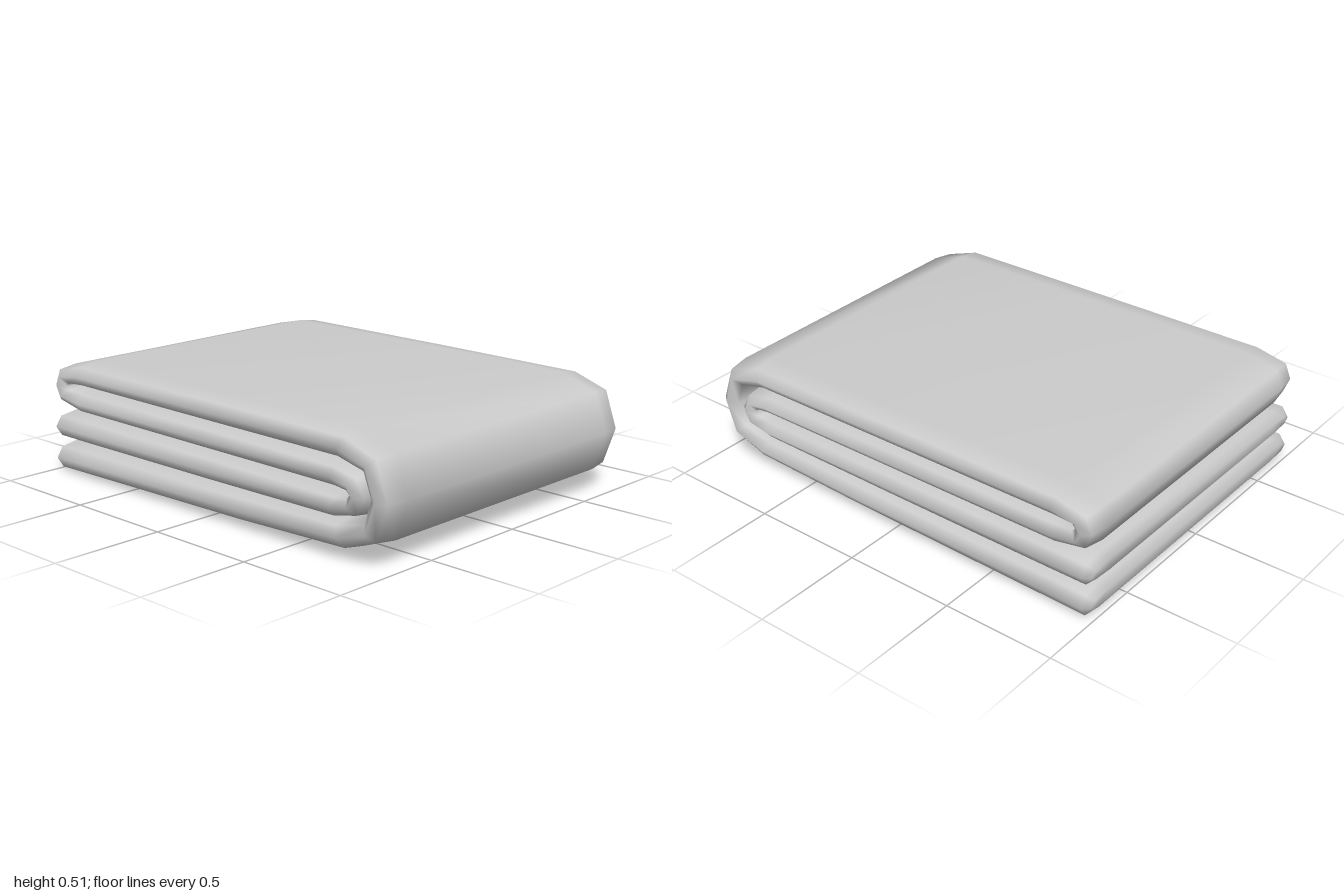
import * as THREE from 'three';

// Stations along the folded sheet: [face A x, y, face B x, y]
const STATIONS = [
  // bottom layer, from its free end
  [-0.993, 0.04, -0.993, 0.09], [-0.965, 0, -0.965, 0.127],
  [-0.8, 0.003, -0.8, 0.13], [0.2, 0.02, 0.2, 0.137],
  // outer fold on the left side
  [0.78, 0.04, 0.72, 0.147], [0.94, 0.1, 0.86, 0.175], [1, 0.27, 0.892, 0.27],
  [0.94, 0.44, 0.855, 0.365], [0.77, 0.5, 0.73, 0.393],
  // top layer and the fold on the right side
  [0, 0.507, 0, 0.398], [-0.82, 0.51, -0.8, 0.405],
  [-0.97, 0.475, -0.885, 0.404], [-1, 0.4, -0.9, 0.397], [-0.97, 0.32, -0.885, 0.392],
  [-0.82, 0.287, -0.8, 0.389],
  // second layer and the inner fold
  [0, 0.282, 0, 0.382], [0.72, 0.278, 0.71, 0.373],
  [0.77, 0.273, 0.84, 0.345], [0.785, 0.266, 0.88, 0.268], [0.77, 0.258, 0.84, 0.185],
  [0.72, 0.253, 0.71, 0.157],
  // third layer, to its free end
  [0, 0.262, 0, 0.15], [-0.8, 0.268, -0.8, 0.147],
  [-0.965, 0.268, -0.965, 0.148], [-0.993, 0.23, -0.993, 0.18],
];

// Rounded section across the sheet: [z, share of the thickness]
const SECTION = [[-0.765, 0], [-0.735, 0.74], [-0.64, 1], [0.64, 1], [0.735, 0.74], [0.765, 0]];

function foldedSheet() {
  const positions = [], index = [];
  const n = SECTION.length, ring = 2 * n - 2, last = STATIONS.length - 1;
  STATIONS.forEach(([ax, ay, bx, by], i) => {
    const mx = (ax + bx) / 2, my = (ay + by) / 2;
    const zScale = i === 0 || i === last ? 0.965 : 1;
    for (let k = 0; k < ring; k++) {
      const onA = k < n;
      const [z, s] = SECTION[onA ? k : ring - k];
      const x = onA ? ax : bx, y = onA ? ay : by;
      positions.push(mx + (x - mx) * s, my + (y - my) * s, z * zScale);
    }
  });
  for (let i = 0; i < last; i++) {
    for (let k = 0; k < ring; k++) {
      const a = i * ring + k, d = i * ring + (k + 1) % ring;
      index.push(a, a + ring, d + ring, a, d + ring, d);
    }
  }
  // caps on the two free ends
  const e = last * ring;
  for (let k = 1; k < n - 1; k++) {
    const b = ring - k, k2 = k + 1, b2 = (ring - k2) % ring;
    if (k === 1) index.push(0, k, b, e, e + b, e + k);
    if (k2 < n - 1) index.push(k, k2, b2, k, b2, b, e + k, e + b2, e + k2, e + k, e + b, e + b2);
    else index.push(k, k2, b, e + k, e + b, e + k2);
  }
  const geometry = new THREE.BufferGeometry();
  geometry.setAttribute('position', new THREE.Float32BufferAttribute(positions, 3));
  geometry.setIndex(index);
  geometry.computeVertexNormals();
  return geometry;
}

export function createModel() {
  const group = new THREE.Group();
  group.name = 'foldedTowel';
  const cloth = new THREE.Mesh(foldedSheet(), new THREE.MeshStandardMaterial({ color: 0xcccccc }));
  cloth.name = 'foldedCloth';
  group.add(cloth);
  return group;
}
